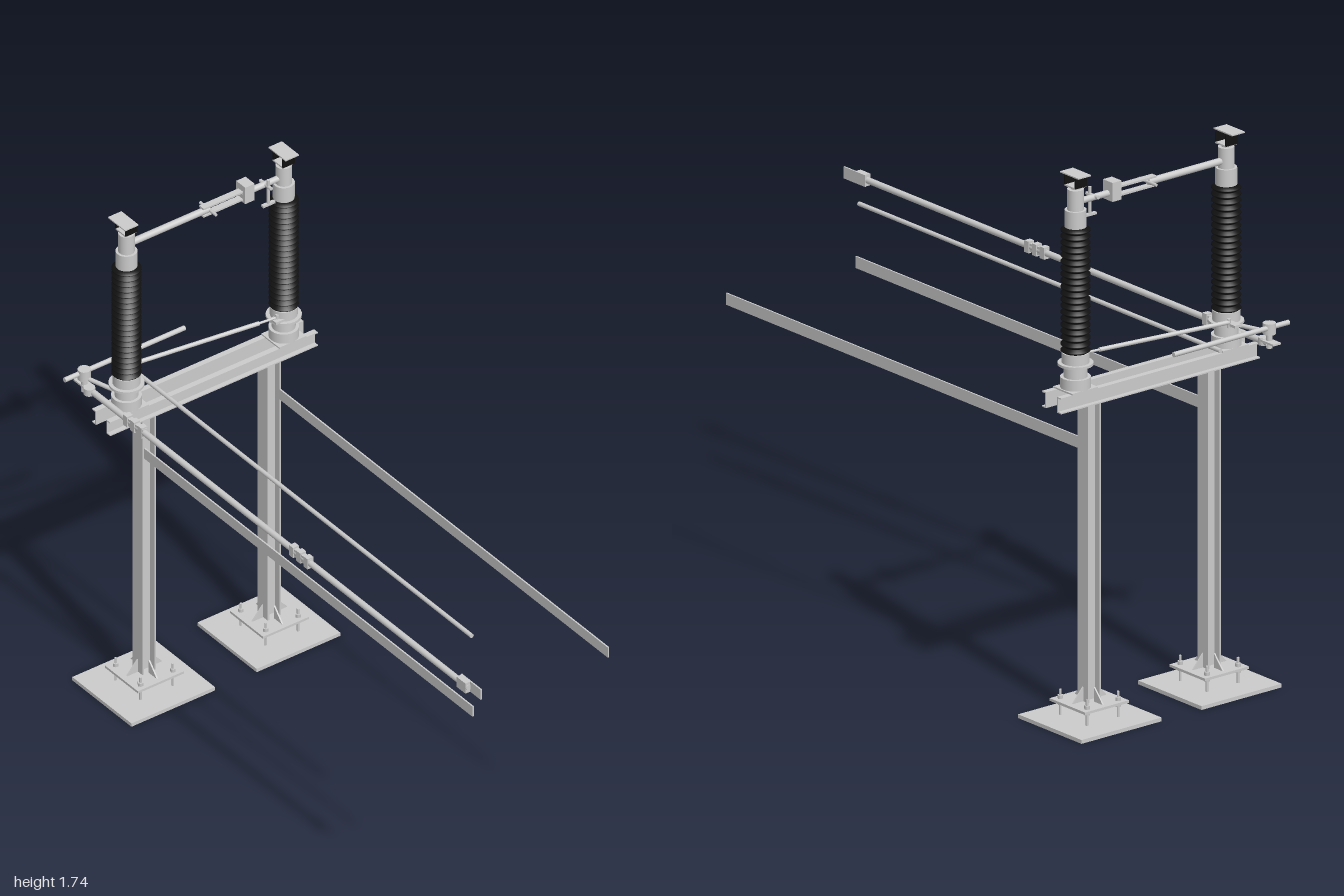
import * as THREE from 'three';

const grey = new THREE.MeshStandardMaterial({ color: 0xcccccc });
const black = new THREE.MeshStandardMaterial({ color: 0x111111 });
const X = -0.84; // centre line of the posts

function add(parent, name, geo, x = 0, y = 0, z = 0, mat = grey) {
  const m = new THREE.Mesh(geo, mat);
  m.name = name;
  m.position.set(x, y, z);
  parent.add(m);
  return m;
}
const box = (p, name, w, h, d, x, y, z, mat) => add(p, name, new THREE.BoxGeometry(w, h, d), x, y, z, mat);
// upright cylinder from y0 to y1
const cyl = (p, name, r, y0, y1, x, z, seg = 24, mat = grey) =>
  add(p, name, new THREE.CylinderGeometry(r, r, y1 - y0, seg), x, (y0 + y1) / 2, z, mat);
// round bar between two points
function rod(p, name, a, b, r, seg = 12) {
  const A = new THREE.Vector3(...a), B = new THREE.Vector3(...b);
  const d = B.clone().sub(A);
  const m = add(p, name, new THREE.CylinderGeometry(r, r, d.length(), seg));
  m.position.copy(A).add(B).multiplyScalar(0.5);
  m.quaternion.setFromUnitVectors(new THREE.Vector3(0, 1, 0), d.normalize());
  return m;
}
function group(parent, name) {
  const g = new THREE.Group();
  g.name = name;
  parent.add(g);
  return g;
}

// H-section post on an anchored foot
function supportPost(parent, z) {
  const g = group(parent, 'supportPost');
  g.position.set(X, 0, z);
  box(g, 'groundPlate', 0.295, 0.012, 0.31, -0.003, 0.006, 0);
  box(g, 'footPlate', 0.165, 0.008, 0.17, 0, 0.06, 0);
  box(g, 'postWeb', 0.006, 0.95, 0.044, 0, 0.535, 0);
  for (const s of [-1, 1]) {
    box(g, 'postFlange', 0.05, 0.95, 0.006, 0, 0.535, s * 0.022);
    // triangular stiffeners
    const tri = new THREE.Shape([[0, 0], [0.04, 0], [0, 0.045]].map(c => new THREE.Vector2(...c)));
    for (const turn of [0, Math.PI / 2]) {
      const geo = new THREE.ExtrudeGeometry(tri, { depth: 0.005, bevelEnabled: false });
      geo.translate(0.025, 0.064, -0.0025).rotateY(turn + (s > 0 ? 0 : Math.PI));
      add(g, 'gusset', geo);
    }
    for (const t of [-1, 1]) {
      const bx = s * 0.062, bz = t * 0.06;
      cyl(g, 'anchorBolt', 0.004, 0.01, 0.093, bx, bz, 8);
      cyl(g, 'anchorNut', 0.009, 0.064, 0.075, bx, bz, 6);
      cyl(g, 'anchorNut', 0.009, 0.045, 0.056, bx, bz, 6);
    }
  }
}

// Turning pedestal, ribbed insulator and top terminal
function insulatorColumn(parent, z) {
  const g = group(parent, 'insulatorColumn');
  g.position.set(X, 0, z);
  cyl(g, 'pedestalBase', 0.046, 1.062, 1.098, 0, 0);
  cyl(g, 'pedestalNeck', 0.036, 1.098, 1.14, 0, 0);
  cyl(g, 'turningDisc', 0.054, 1.135, 1.143, 0, 0);
  cyl(g, 'insulatorCollar', 0.042, 1.143, 1.175, 0, 0, 32);
  const pts = [new THREE.Vector2(0, 1.172)];
  const n = 20, pitch = 0.4 / n;
  for (let i = 0; i < n; i++) {
    const y = 1.172 + i * pitch;
    pts.push(new THREE.Vector2(0.033, y), new THREE.Vector2(0.045, y + pitch * 0.4),
      new THREE.Vector2(0.045, y + pitch * 0.55), new THREE.Vector2(0.034, y + pitch * 0.95));
  }
  pts.push(new THREE.Vector2(0, 1.572));
  add(g, 'ribbedInsulator', new THREE.LatheGeometry(pts, 32), 0, 0, 0, black);
  cyl(g, 'topCap', 0.033, 1.57, 1.625, 0, 0);
  cyl(g, 'contactHub', 0.025, 1.625, 1.69, 0, 0);
  cyl(g, 'terminalStem', 0.014, 1.69, 1.70, 0, 0);
  box(g, 'terminalBase', 0.05, 0.005, 0.045, 0, 1.70, 0);
  for (const s of [-1, 1]) box(g, 'terminalCheek', 0.004, 0.036, 0.045, s * 0.024, 1.717, 0, black);
  box(g, 'terminalPad', 0.085, 0.004, 0.05, 0, 1.737, z > 0 ? 0.012 : 0);
}

// Bar coupling: sleeve with two raised bands
function coupling(parent, x, y, z) {
  const g = group(parent, 'rodCoupling');
  box(g, 'couplingBody', 0.095, 0.026, 0.016, x, y, z);
  for (const o of [-0.036, 0, 0.036]) box(g, 'couplingBand', 0.02, 0.037, 0.022, x + o, y, z);
}

export function createModel() {
  const root = new THREE.Group();
  root.name = 'disconnectSwitch';

  for (const z of [0.207, -0.257]) supportPost(root, z);
  for (const z of [0.273, -0.31]) insulatorColumn(root, z);

  // Pair of channel beams across the posts
  for (const s of [-1, 1]) {
    const g = group(root, 'channelBeam');
    box(g, 'beamWeb', 0.004, 0.05, 0.77, X + s * 0.028, 1.035, -0.018);
    for (const y of [1.012, 1.058]) box(g, 'beamFlange', 0.018, 0.004, 0.77, X + s * 0.036, y, -0.018);
  }
  for (const z of [0.273, -0.31]) box(root, 'mountingPlate', 0.09, 0.005, 0.1, X, 1.062, z);

  // Flat side bars running out from the posts
  for (const z of [0.224, -0.278]) box(root, 'sideBar', 1.635, 0.037, 0.005, 0.003, 0.875, z);

  // Switch arm with forked contact
  const arm = group(root, 'switchArm');
  rod(arm, 'armTube', [X, 1.647, 0.255], [X, 1.647, -0.03], 0.011, 16);
  for (const y of [1.634, 1.661]) box(arm, 'forkFinger', 0.022, 0.006, 0.17, X, y, -0.09);
  box(arm, 'contactBlock', 0.045, 0.06, 0.035, X, 1.655, -0.168);
  rod(arm, 'contactStub', [X, 1.647, -0.15], [X, 1.647, -0.3], 0.01, 16);
  rod(arm, 'crossPin', [X - 0.04, 1.647, -0.03], [X + 0.04, 1.647, -0.03], 0.005, 8);
  cyl(arm, 'hookStem', 0.005, 1.588, 1.675, X + 0.02, -0.238, 8);
  box(arm, 'hookFoot', 0.012, 0.007, 0.045, X + 0.02, 1.587, -0.238);
  rod(arm, 'hookPin', [X - 0.02, 1.65, -0.238], [X + 0.035, 1.65, -0.238], 0.006, 8);

  // Linkage joining the two pedestals
  const link = group(root, 'pedestalLinkage');
  rod(link, 'linkRod', [-0.892, 1.155, 0.24], [-0.83, 1.155, -0.21], 0.007);
  rod(link, 'linkRodEnd', [-0.83, 1.155, -0.21], [-0.822, 1.155, -0.275], 0.004);
  box(link, 'frontLever', 0.075, 0.008, 0.025, -0.885, 1.148, 0.25);
  box(link, 'backLever', 0.03, 0.008, 0.06, -0.82, 1.148, -0.285);
  for (const p of [[-0.892, 0.24], [-0.822, -0.272]]) cyl(link, 'leverPin', 0.006, 1.138, 1.166, ...p, 10);

  // Drive rod along the front with its couplings
  const drive = group(root, 'driveRod');
  rod(drive, 'frontRod', [-0.96, 1.085, 0.336], [0.95, 1.085, 0.336], 0.01, 16);
  for (const x of [-0.712, 0.115]) coupling(drive, x, 1.085, 0.336);
  box(drive, 'endClamp', 0.045, 0.037, 0.022, 0.925, 1.085, 0.336);
  box(drive, 'endTongue', 0.1, 0.037, 0.005, 0.95, 1.085, 0.327);
  box(drive, 'rearTongue', 0.06, 0.006, 0.03, -0.97, 1.092, 0.336);
  rod(root, 'secondRod', [-0.93, 1.09, 0.176], [0.75, 1.09, 0.176], 0.007);

  // Crank and hand lever at the corner
  const crank = group(root, 'crank');
  cyl(crank, 'crankShaft', 0.01, 1.07, 1.15, -0.96, 0.34, 16);
  cyl(crank, 'crankHub', 0.02, 1.115, 1.15, -0.96, 0.34, 16);
  cyl(crank, 'crankFoot', 0.018, 1.075, 1.098, -0.935, 0.34, 16);
  rod(crank, 'handLever', [-0.965, 1.136, 0.41], [-0.965, 1.136, -0.035], 0.008);
  rod(crank, 'crankLink', [-0.96, 1.12, 0.34], [-0.86, 1.12, 0.31], 0.007);
  return root;
}
